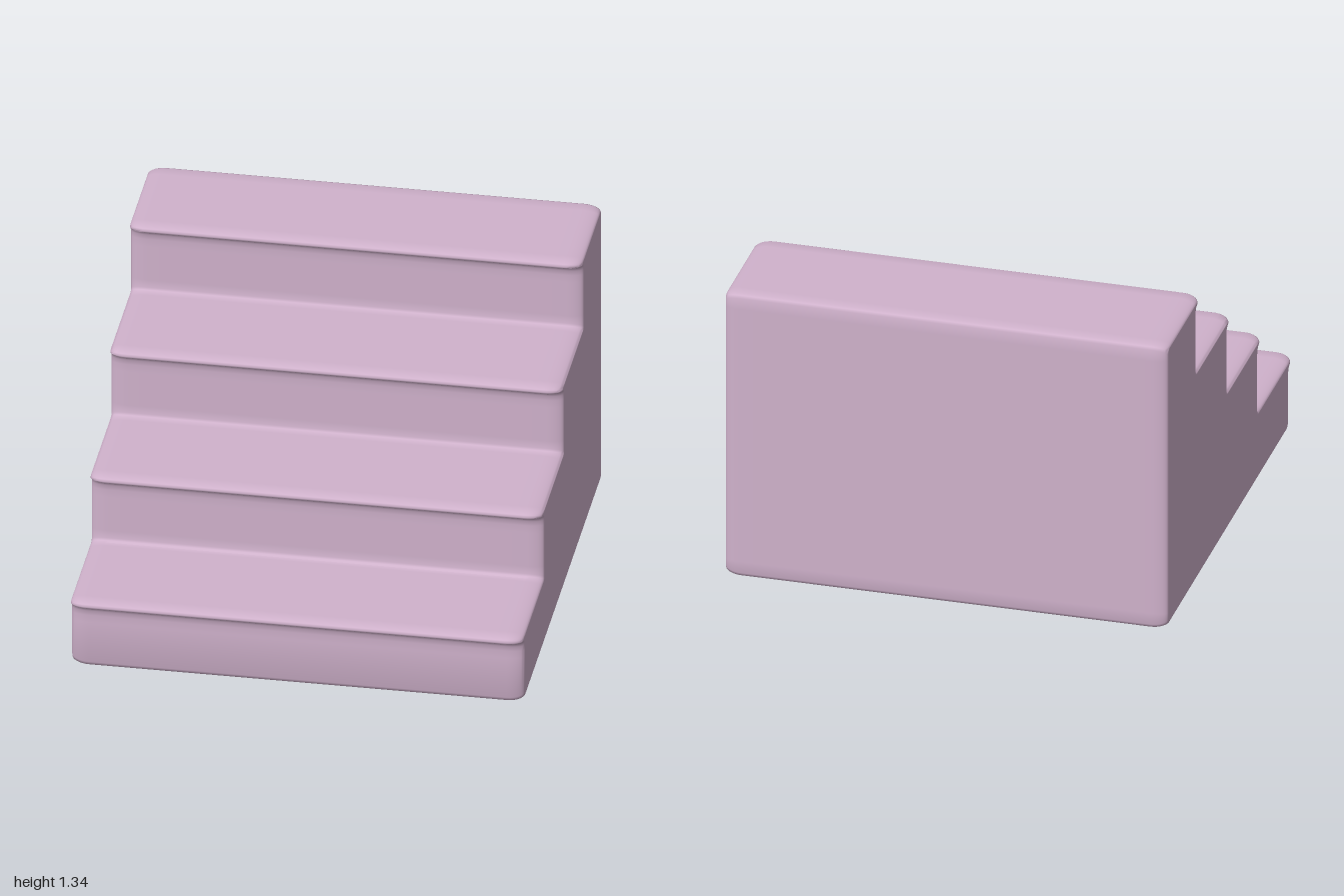
import * as THREE from 'three';
import { toCreasedNormals, mergeGeometries } from 'three/addons/utils/BufferGeometryUtils.js';

const STEPS = 4, RISE = 0.334, RUN = 0.489, HALF = 0.97;
const INSET = 0.025, EDGE = 0.075; // rounding of the side edges

// Side profile as [z, y] points, shrunk inwards by d
function profile(d) {
  const pts = [];
  const add = (z, y, dz = 0, dy = 0) => pts.push([z + dz * d, y + dy * d]);

  // rounded bottom front edge
  add(0.85, 0, 0, 1);
  add(0.92, 0, -1, 1);
  add(0.938, 0.006, -1, 1);
  add(0.945, 0.022, -1, 1);

  for (let k = 0; k < STEPS; k++) {
    const tip = 1 - k * RUN, riser = tip - 0.055, top = (k + 1) * RISE;
    // fillet at the foot of the riser
    if (k > 0) {
      const foot = k * RISE;
      add(riser + 0.04, foot, 0, -0.8);
      add(riser + 0.014, foot, -0.8, -0.8);
      add(riser + 0.004, foot + 0.004, -1, -0.8);
      add(riser, foot + 0.015, -1, -0.8);
      add(riser, foot + 0.05, -1, 0);
    }
    // riser sweeping out into the nosing
    add(riser, top - 0.12, -1, 0);
    add(riser, top - 0.085, -1, 0);
    add(riser + 0.003, top - 0.062, -1.1, 0);
    add(riser + 0.012, top - 0.044, -1.3, 0);
    add(riser + 0.026, top - 0.035, -1.6, 0);
    add(tip - 0.013, top - 0.031, -1.9, 0);
    add(tip - 0.003, top - 0.025, -2, -0.1);
    add(tip, top - 0.016, -2, -0.4);
    add(tip - 0.004, top - 0.006, -2, -0.7);
    add(tip - 0.016, top, -1.9, -0.8);
    add(tip - 0.07, top, -1, -0.8);
  }

  // rounded back edges
  const h = STEPS * RISE;
  add(-0.93, h, 0, -0.8);
  add(-0.982, h, 1, -0.8);
  add(-0.995, h - 0.005, 1, -0.9);
  add(-1, h - 0.018, 1, -1);
  add(-1, h - 0.07, 1, 0);
  add(-1, 0.07, 1, 0);
  add(-1, 0.018, 1, 1);
  add(-0.995, 0.005, 1, 1);
  add(-0.982, 0, 1, 1);
  add(-0.93, 0, 0, 1);
  return pts;
}

// Profile rings swept from side to side
function wallGeometry() {
  const half = [{ x: HALF - EDGE - 0.06, d: 0 }];
  for (let i = 0; i <= 8; i++) {
    const a = (i / 8) * Math.PI / 2;
    half.push({ x: HALF - EDGE + EDGE * Math.sin(a), d: INSET * (1 - Math.cos(a)) });
  }
  const rings = [...half.map(r => ({ x: -r.x, d: r.d })).reverse(), ...half];
  const pos = [], idx = [];
  const n = profile(0).length;
  rings.forEach(({ x, d }, i) => {
    profile(d).forEach(([z, y], j) => {
      pos.push(x, y, z);
      if (i === rings.length - 1) return;
      const a = i * n + j, b = i * n + (j + 1) % n;
      idx.push(a, a + n, b + n, a, b + n, b);
    });
  });
  const g = new THREE.BufferGeometry();
  g.setAttribute('position', new THREE.Float32BufferAttribute(pos, 3));
  g.setIndex(idx);
  return toCreasedNormals(g, 1.0);
}

// Flat side closing the sweep; s is +1 or -1
function sideGeometry(s) {
  const pts = profile(INSET);
  const faces = THREE.ShapeUtils.triangulateShape(pts.map(p => new THREE.Vector2(p[0], p[1])), []);
  const pos = [];
  for (const f of faces) {
    const [a, b, c] = f.map(i => pts[i]);
    const ccw = (b[0] - a[0]) * (c[1] - a[1]) - (b[1] - a[1]) * (c[0] - a[0]) > 0;
    const order = ccw === (s < 0) ? [a, b, c] : [a, c, b];
    order.forEach(([z, y]) => pos.push(s * HALF, y, z));
  }
  const g = new THREE.BufferGeometry();
  g.setAttribute('position', new THREE.Float32BufferAttribute(pos, 3));
  g.computeVertexNormals();
  return g;
}

export function createModel() {
  const group = new THREE.Group();
  group.name = 'staircase';
  const material = new THREE.MeshStandardMaterial({ color: 0xd0b2cc });
  const geometry = mergeGeometries([wallGeometry(), sideGeometry(1), sideGeometry(-1)]);
  const stairs = new THREE.Mesh(geometry, material);
  stairs.name = 'steps';
  group.add(stairs);
  return group;
}
